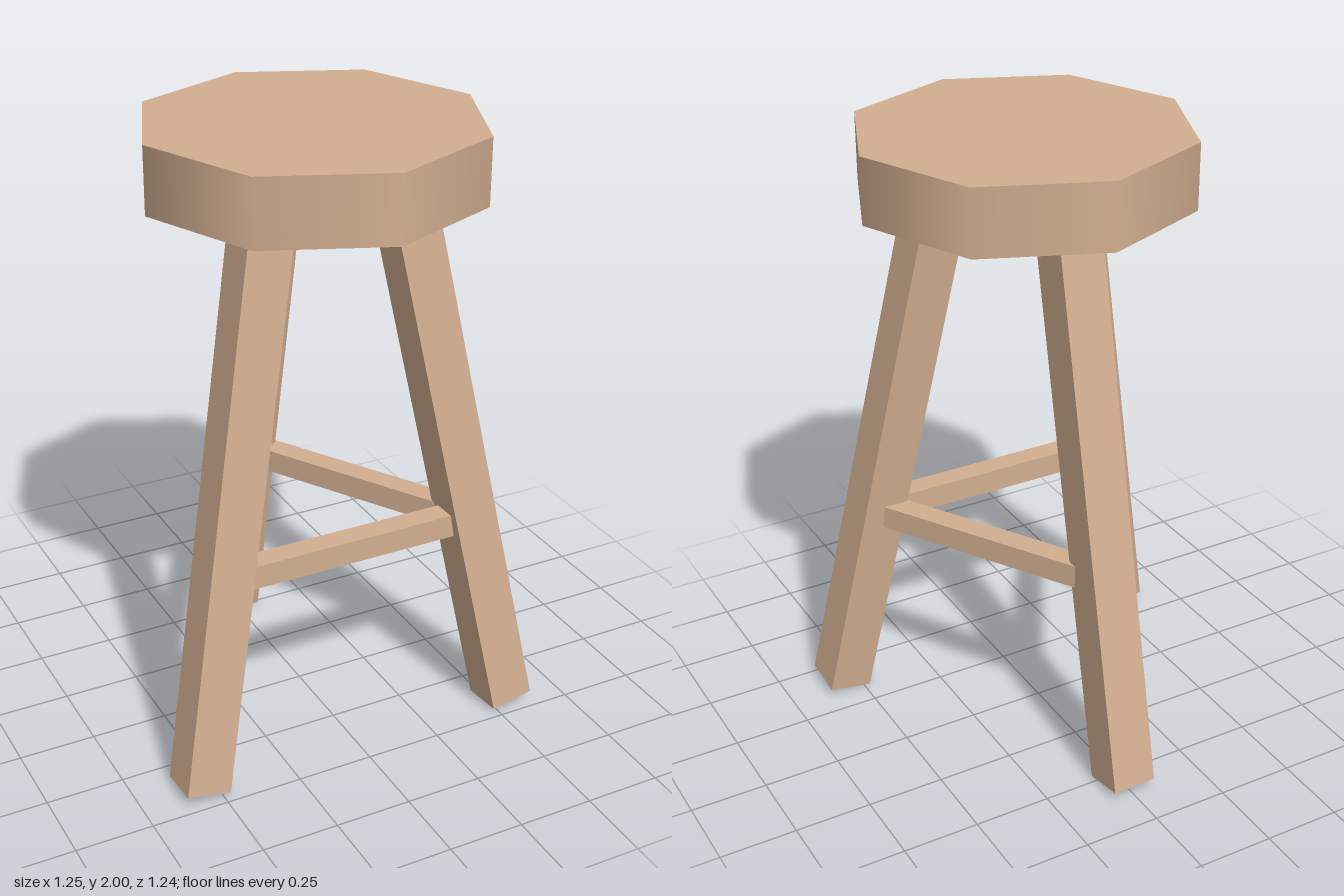
import * as THREE from 'three';

export function createModel() {
  const model = new THREE.Group();
  model.name = 'stool';
  const wood = new THREE.MeshStandardMaterial({ color: 0xd2ae90 });
  wood.name = 'wood';

  const axisZ = 0.087; // the stool's own axis, set forward by the back foot
  const footRadius = 0.637, headRadius = 0.261;
  const footY = 0.021, headY = 1.79;
  const legWidth = 0.145, barWidth = 0.077, barY = 0.695;
  const angles = [Math.PI, Math.PI / 3, -Math.PI / 3]; // back, left, right
  const names = ['back', 'left', 'right'];

  const onRing = (angle, radius, y) =>
    new THREE.Vector3(Math.sin(angle) * radius, y, axisZ + Math.cos(angle) * radius);

  const add = (name, geometry) => {
    const mesh = new THREE.Mesh(geometry, wood);
    mesh.name = name;
    model.add(mesh);
    return mesh;
  };

  // Octagonal seat with a smooth rim
  add('seat', new THREE.CylinderGeometry(0.532, 0.532, 0.21, 8)).position.set(0, 1.895, axisZ);

  // Splayed square legs, tilted about x and z without twisting
  angles.forEach((angle, i) => {
    const foot = onRing(angle, footRadius, footY);
    const head = onRing(angle, headRadius, headY);
    const d = head.clone().sub(foot);
    const length = d.length();
    const leg = add(names[i] + 'Leg', new THREE.BoxGeometry(legWidth, length, legWidth));
    leg.position.copy(foot).add(head).multiplyScalar(0.5);
    leg.rotation.set(Math.atan2(d.z, d.y), 0, Math.asin(-d.x / length));
  });

  // Triangle of stretchers joining the leg centres
  const t = (barY - footY) / (headY - footY);
  const barRadius = THREE.MathUtils.lerp(footRadius, headRadius, t);
  angles.forEach((angle, i) => {
    const a = onRing(angle, barRadius, barY);
    const b = onRing(angles[(i + 1) % 3], barRadius, barY);
    const bar = add('stretcher' + (i + 1), new THREE.BoxGeometry(barWidth, barWidth, a.distanceTo(b)));
    bar.position.copy(a).add(b).multiplyScalar(0.5);
    bar.rotation.y = Math.atan2(b.x - a.x, b.z - a.z);
  });

  return model;
}
